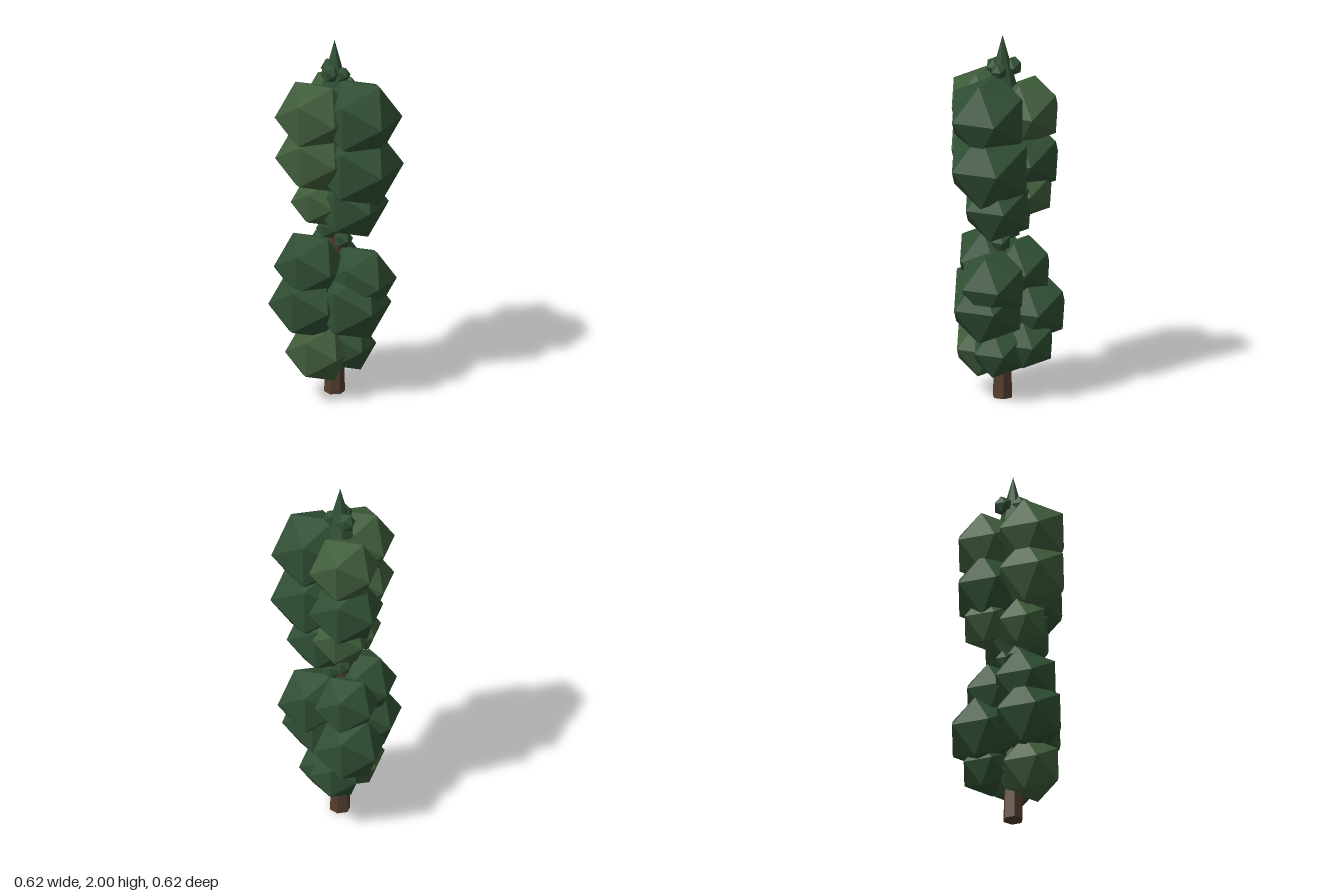
import * as THREE from 'three';

const TRUNK_X = -0.04;

export function createModel() {
  const tree = new THREE.Group();
  tree.name = 'tree';
  const mat = (color) => new THREE.MeshStandardMaterial({ color, flatShading: true });
  const bark = mat(0x543c2e);
  const leafLight = mat(0x3f5c3a);
  const leafDark = mat(0x2f4e33);

  const add = (name, geometry, material, x, y, z) => {
    const mesh = new THREE.Mesh(geometry, material);
    mesh.name = name;
    mesh.position.set(x, y, z);
    tree.add(mesh);
    return mesh;
  };

  // Tapered six-sided trunk and pointed crown
  add('trunk', new THREE.CylinderGeometry(0.02, 0.055, 1.75, 6), bark, TRUNK_X, 0.875, 0);
  add('crownTip', new THREE.ConeGeometry(0.088, 0.32, 7), leafDark, TRUNK_X, 1.84, 0);

  // Thin limb from the trunk up to a foliage clump
  const up = new THREE.Vector3(0, 1, 0);
  const addBranch = (x, y, z) => {
    const start = new THREE.Vector3(TRUNK_X, y - 0.06, 0);
    const dir = new THREE.Vector3(x, y, z).sub(start);
    const length = dir.length();
    const mid = start.addScaledVector(dir, 0.5);
    const limb = add('branch', new THREE.CylinderGeometry(0.01, 0.018, length, 5), bark, mid.x, mid.y, mid.z);
    limb.quaternion.setFromUnitVectors(up, dir.normalize());
  };

  // Clumps: x, y, z, radius, light tone (1) or dark (0)
  const columns = {
    frontFoliage: [
      [-0.096, 1.60, 0.13, 0.209, 1],
      [-0.093, 1.37, 0.13, 0.209, 1],
      [-0.098, 1.097, 0.075, 0.147, 1],
      [-0.127, 0.738, 0.108, 0.196, 0],
      [-0.135, 0.532, 0.13, 0.208, 0],
      [-0.074, 0.264, 0.117, 0.179, 1],
    ],
    leftFoliage: [
      [0.113, 1.59, 0.015, 0.23, 0],
      [0.101, 1.317, 0.008, 0.245, 0],
      [0.043, 1.085, -0.013, 0.208, 0],
      [0.105, 0.662, -0.01, 0.196, 0],
      [0.072, 0.535, 0.034, 0.217, 0],
      [0.028, 0.278, -0.01, 0.156, 0],
    ],
    backFoliage: [
      [-0.095, 1.58, -0.118, 0.195, 1],
      [-0.102, 1.32, -0.107, 0.205, 0],
      [-0.08, 1.15, -0.12, 0.16, 1],
      [-0.1, 0.71, -0.083, 0.177, 0],
      [-0.128, 0.49, -0.14, 0.198, 0],
      [-0.06, 0.317, -0.142, 0.151, 0],
    ],
  };
  for (const [name, clumps] of Object.entries(columns)) {
    for (const [x, y, z, r, light] of clumps) {
      add(name, new THREE.IcosahedronGeometry(r), light ? leafLight : leafDark, x, y, z);
      addBranch(x, y, z);
    }
  }

  // Small tufts around the crown and in the gap at mid-height
  const tufts = [
    [-0.045, 1.822, 0.045, 0.052],
    [-0.082, 1.82, -0.04, 0.054],
    [0.005, 1.81, 0, 0.045],
    [-0.063, 0.937, 0.035, 0.062],
    [0, 0.872, -0.01, 0.058],
    [-0.065, 0.925, -0.04, 0.055],
  ];
  for (const [x, y, z, r] of tufts) {
    add('tuft', new THREE.IcosahedronGeometry(r), leafDark, x, y, z);
  }
  return tree;
}
